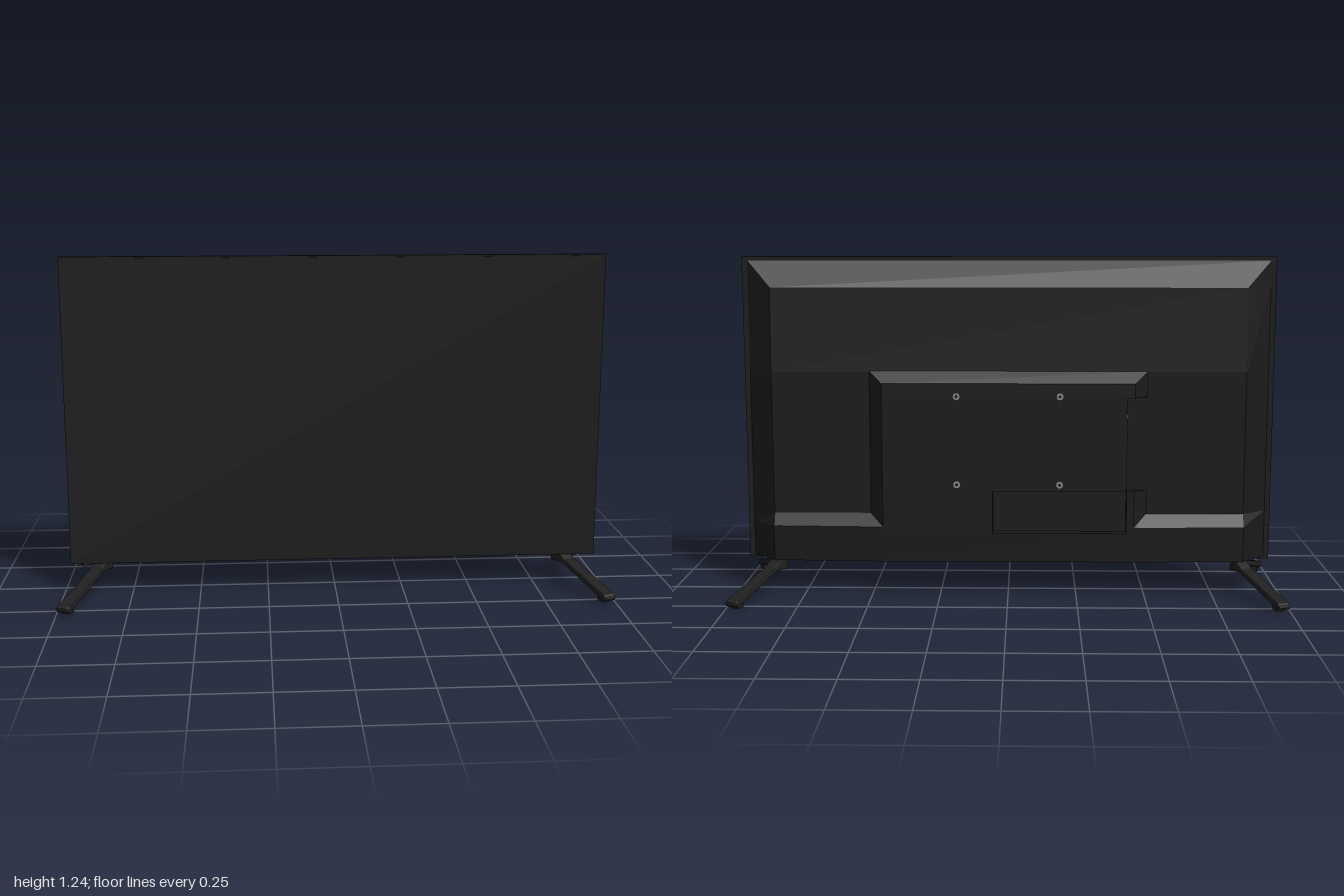
import * as THREE from 'three';

const mat = (name, color, extra = {}) => {
  const m = new THREE.MeshStandardMaterial({ color, ...extra });
  m.name = name;
  return m;
};

// Skin stacked sections, each [y, [[x, z], ...]] running from +x round the back to -x
function loft(sections, capBottom = true, capTop = true) {
  const pos = [];
  const tri = (...pts) => pts.forEach(p => pos.push(...p));
  const rings = sections.map(([y, pts]) => pts.map(([x, z]) => [x, y, z]));
  for (let j = 0; j < rings.length - 1; j++) {
    const a = rings[j], b = rings[j + 1];
    for (let i = 0; i < a.length - 1; i++) {
      tri(a[i], a[i + 1], b[i + 1]);
      tri(a[i], b[i + 1], b[i]);
    }
  }
  const bot = rings[0], top = rings[rings.length - 1];
  for (let i = 1; i < bot.length - 1; i++) {
    if (capBottom) tri(bot[0], bot[i + 1], bot[i]);
    if (capTop) tri(top[0], top[i], top[i + 1]);
  }
  const g = new THREE.BufferGeometry();
  g.setAttribute('position', new THREE.Float32BufferAttribute(pos, 3));
  g.computeVertexNormals();
  return g;
}

export function createModel() {
  const root = new THREE.Group();
  root.name = 'television';
  const body = mat('body black', 0x1a1a1a);
  const screenMat = mat('screen black', 0x1b1b1b);
  const legMat = mat('leg black', 0x202020);
  const metal = mat('metal grey', 0x8c8c8c);
  const add = (name, geo, m, x = 0, y = 0, z = 0, parent = root) => {
    const mesh = new THREE.Mesh(geo, m);
    mesh.name = name;
    mesh.position.set(x, y, z);
    parent.add(mesh);
    return mesh;
  };
  const box = (w, h, d) => new THREE.BoxGeometry(w, h, d);

  // Flat display panel and its screen
  add('panelFrame', box(1.95, 1.125, 0.017), body, 0, 0.6725, 0.0435);
  add('screen', box(1.938, 1.113, 0.003), screenMat, 0, 0.6725, 0.0525);

  // Chamfered rear shell
  const Z = -0.033, F = -0.07; // shell back and raised face depths
  const shellAt = (y, x, z) => [y, [[0.955, 0.035], [x, z], [-x, z], [-0.955, 0.035]]];
  add('rearShell', loft([
    shellAt(0.12, 0.865, Z), shellAt(0.82, 0.865, Z),
    shellAt(1.125, 0.865, -0.02), shellAt(1.22, 0.955, 0.035),
  ], true, false), body);

  // Thick lower strip, interrupted by the connector pocket
  const PL = 0.057, PR = -0.433, PB = 0.228, PT = 0.385;
  const stripHalf = [[0.955, 0.035], [0.865, -0.055], [0.47, F]];
  const flatHalf = [[0.955, 0.035], [0.865, Z], [0.47, Z]];
  const mirrored = pts => pts.map(([x, z]) => [-x, z]).reverse();
  const lower = [...stripHalf, ...mirrored(stripHalf)];
  add('lowerStrip', loft([[0.12, lower], [PB, lower]]), body);
  const leftFull = [...stripHalf, [PL, F], [PL, Z]];
  const leftFlat = [...flatHalf, [PL, Z], [PL, Z]];
  add('lowerStripLeft', loft([[PB, leftFull], [0.25, leftFull], [0.295, leftFlat]]), body);
  const rightFull = [[PR, Z], [PR, F], ...mirrored(stripHalf)];
  const rightFlat = [[PR, Z], [PR, Z], ...mirrored(flatHalf)];
  add('lowerStripRight', loft([[PB, rightFull], [0.25, rightFull], [0.295, rightFlat]]), body);

  // Raised electronics housing with a side notch
  const L = [[0.507, Z], [0.46, F]], R = mirrored(L);
  const housing = (name, pts, y0, y1) => add(name, loft([[y0, pts], [y1, pts]]), body);
  housing('housingLowerLeft', [...L, [PL, F], [PL, Z]], PB, PT);
  housing('housingLowerRight', [[PR, Z], [PR, F], ...R], PB, PT);
  housing('housingMiddle', [...L, [PR, F], [PR, Z]], PT, 0.73);
  const full = [...L, ...R];
  const ridge = [[0.507, Z], [0.507, Z], [-0.507, Z], [-0.507, Z]];
  add('housingTop', loft([[0.73, full], [0.782, full], [0.823, ridge]]), body);

  // Connectors on the pocket ceiling and the notch wall
  for (const x of [-0.155, -0.183, -0.211, -0.239, -0.267, -0.325, -0.36, -0.395]) {
    add('pocketPort', box(0.014, 0.005, 0.012), metal, x, PT - 0.001, -0.052);
  }
  for (const y of [0.66, 0.618, 0.55, 0.445]) {
    add('sidePort', box(0.005, 0.016, 0.01), metal, PR - 0.001, y, -0.052);
  }

  // Wall-mount bolts
  const bolt = new THREE.CylinderGeometry(0.014, 0.014, 0.012, 16).rotateX(Math.PI / 2);
  const socket = new THREE.CylinderGeometry(0.006, 0.006, 0.002, 6).rotateX(Math.PI / 2);
  for (const x of [-0.188, 0.188]) for (const y of [0.41, 0.735]) {
    add('mountBolt', bolt, metal, x, y, -0.07);
    add('boltSocket', socket, body, x, y, -0.0762);
  }

  // Splayed legs: one arm, mirrored front to back and side to side
  const arm = new THREE.Shape([
    [-0.012, 0.074], [0.06, 0.08], [0.31, 0.01], [0.325, 0.012], [0.329, 0.02], [0.327, 0.028],
    [0.318, 0.034], [0.07, 0.097], [0.03, 0.118], [-0.012, 0.118],
  ].map(p => new THREE.Vector2(...p)));
  const armGeo = new THREE.ExtrudeGeometry(arm, {
    depth: 0.036, bevelThickness: 0.006, bevelSize: 0.005, bevelOffset: -0.005, bevelSegments: 2,
  }).translate(0, 0, -0.018);
  const padGeo = box(0.03, 0.02, 0.03);
  for (const sx of [1, -1]) for (const sz of [1, -1]) {
    const side = new THREE.Group();
    side.name = (sz > 0 ? 'front' : 'rear') + (sx > 0 ? 'LeftLeg' : 'RightLeg');
    side.scale.set(sx, 1, sz);
    const leg = new THREE.Group();
    leg.name = 'legArm';
    leg.position.x = 0.852;
    leg.rotation.y = -1.18;
    add('arm', armGeo, legMat, 0, 0, 0, leg);
    add('footPad', padGeo, legMat, 0.288, 0.01, 0, leg);
    side.add(leg);
    root.add(side);
  }
  return root;
}
